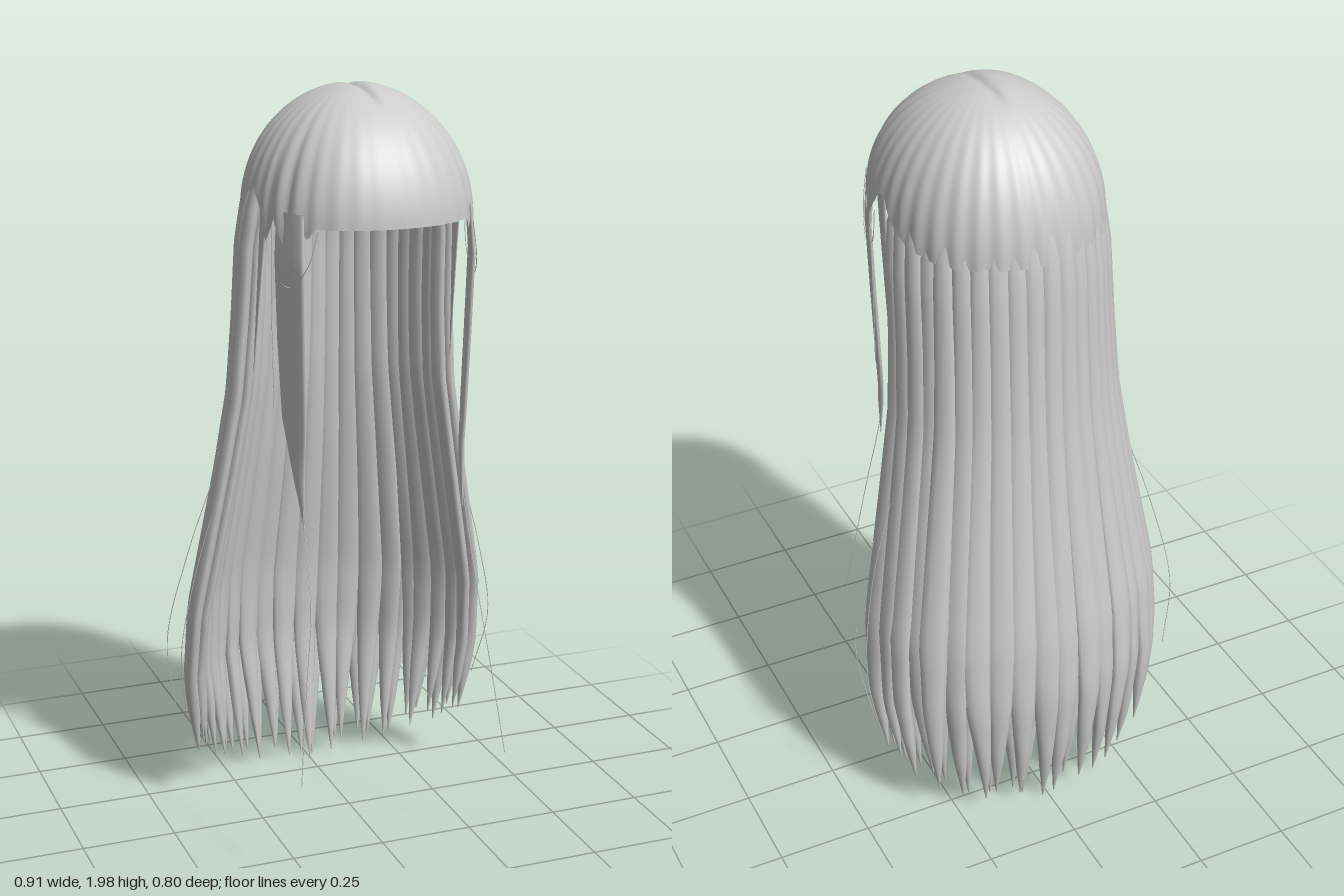
import * as THREE from 'three';

const hairGrey = new THREE.MeshStandardMaterial({ color: 0xcccccc, side: THREE.DoubleSide });
hairGrey.name = 'hair grey';

// small seeded random
let seed = 7;
const rnd = () => (seed = (seed * 16807) % 2147483647) / 2147483647;
const jitter = (a) => (rnd() * 2 - 1) * a;

// piecewise-linear lookup in [[key, value...], ...] with ascending keys
function lookup(table, k, col = 1) {
  if (k <= table[0][0]) return table[0][col];
  for (let i = 1; i < table.length; i++) {
    const [a, b] = [table[i - 1], table[i]];
    if (k <= b[0]) return a[col] + (b[col] - a[col]) * (k - a[0]) / (b[0] - a[0]);
  }
  return table[table.length - 1][col];
}

// surface closed around u, open along v
function loopSurface(nu, nv, fn) {
  const pos = [], idx = [];
  for (let j = 0; j <= nv; j++)
    for (let i = 0; i < nu; i++) pos.push(...fn(i / nu, j / nv));
  for (let j = 0; j < nv; j++)
    for (let i = 0; i < nu; i++) {
      const a = j * nu + i, b = j * nu + (i + 1) % nu;
      idx.push(a, a + nu, b, b, a + nu, b + nu);
    }
  const g = new THREE.BufferGeometry();
  g.setAttribute('position', new THREE.Float32BufferAttribute(pos, 3));
  g.setIndex(idx);
  g.computeVertexNormals();
  return g;
}

function add(parent, geometry, name) {
  const m = new THREE.Mesh(geometry, hairGrey);
  m.name = name;
  parent.add(m);
}

// lens-shaped lock along a path; side(t) is the horizontal direction of its width
function lock(path, side, width, thick, nv = 32) {
  return loopSurface(10, nv, (u, t) => {
    const p = path(t), s = side(t), w = width(t);
    const c = Math.cos(u * 2 * Math.PI) * w / 2;
    const d = Math.sin(u * 2 * Math.PI) * thick / 2 * Math.min(1, w / 0.04);
    return [p.x + s.x * c - s.z * d, p.y, p.z + s.z * c + s.x * d];
  });
}

// lower edge of the cap, by angle from the front in degrees
const rim = [[0, 1.69], [42, 1.69], [46, 1.66], [52, 1.7], [58, 1.62], [66, 1.7], [72, 1.64],
  [78, 1.71], [86, 1.76], [94, 1.74], [104, 1.68], [130, 1.66], [180, 1.66]];

function capGeometry() {
  return loopSurface(240, 40, (u, v) => {
    const th = u * 2 * Math.PI;
    const deg = Math.abs(u > 0.5 ? u - 1 : u) * 360;
    const bottom = lookup(rim, deg);
    const end = Math.acos(Math.max(0, Math.min(1, (bottom - 1.68) / 0.32)));
    const phi = Math.max(v, 0.001) * end;
    let y = 1.68 + 0.32 * Math.cos(phi);
    if (bottom < 1.68) y -= (1.68 - bottom) * v ** 4;
    // fuller corners, and combed ripples that fade toward the fringe
    const front = Math.cos(th) > 0;
    const calm = front ? 1 - 0.8 * Math.cos(th) ** 2 : 1;
    const full = 1 + (front ? 0.045 : 0.025) * Math.sin(2 * th) ** 2;
    const r = Math.sin(phi) * full * (1 + 0.009 * calm * Math.cos(34 * th) * Math.sin(phi));
    const x = 0.28 * r * Math.sin(th);
    const z = 0.04 + (front ? 0.32 : 0.31) * r * Math.cos(th);
    // parting along the crown
    const groove = 0.012 * Math.exp(-((x / 0.014) ** 2) - ((z - 0.07) / 0.11) ** 4);
    return [x, y - groove, z];
  });
}

// curtain of long hair: height, half width, centre z, depth behind the centre
const curtain = [[0, 0.37, -0.16, 0.19], [0.2, 0.395, -0.14, 0.235], [0.4, 0.415, -0.115, 0.277],
  [0.6, 0.408, -0.09, 0.291], [0.8, 0.373, -0.07, 0.281], [1, 0.338, -0.05, 0.272],
  [1.2, 0.306, -0.033, 0.266], [1.4, 0.293, -0.015, 0.27], [1.6, 0.286, 0.01, 0.285],
  [1.7, 0.273, 0.025, 0.286], [1.8, 0.24, 0.03, 0.262]];

function curtainLock(u, inset, tip, width, thick) {
  const bend = jitter(0.014), phase = rnd() * 6, twist = jitter(0.4), out = jitter(0.01);
  // locks gather slightly into bundles at the ends
  const bundle = Math.round(u * 6.5) / 6.5 * 1.5;
  const angle = (t) => {
    const a = u * 1.5 + bend * Math.sin(t * 5 + phase);
    return a + (bundle - a) * 0.45 * THREE.MathUtils.smoothstep(t, 0.72, 1);
  };
  const path = (t) => {
    const y = 1.8 + (tip - 1.8) * t, a = angle(t), off = inset - out * t * t;
    return new THREE.Vector3(
      (lookup(curtain, y, 1) - off) * Math.sin(a), y,
      lookup(curtain, y, 2) - (lookup(curtain, y, 3) - off) * Math.cos(a));
  };
  const side = (t) => {
    const a = angle(t) + twist * t * t;
    return new THREE.Vector3(Math.cos(a), 0, Math.sin(a));
  };
  const w = (t) => width * lookup([[0, 0.75], [0.3, 0.85], [0.7, 1.1], [0.82, 0.85], [0.93, 0.45], [1, 0.04]], t);
  return lock(path, side, w, thick);
}

function hairStrand(points) {
  const curve = new THREE.CatmullRomCurve3(points.map((p) => new THREE.Vector3(...p)));
  return new THREE.TubeGeometry(curve, 24, 0.0012, 4);
}

export function createModel() {
  seed = 7;
  const model = new THREE.Group();
  model.name = 'longHair';
  add(model, capGeometry(), 'capWithFringe');

  // two overlapping layers of long locks
  const layers = [['outerLocks', 20, 0.01, 0.074, 0.036], ['innerLocks', 19, 0.034, 0.07, 0.032]];
  for (const [name, count, inset, width, thick] of layers) {
    const group = new THREE.Group();
    group.name = name;
    for (let i = 0; i < count; i++) {
      const u = (i / (count - 1)) * 2 - 1;
      const tip = 0.17 * Math.abs(u) ** 1.2 + rnd() * 0.05;
      add(group, curtainLock(u, inset + jitter(0.004), tip, width, thick), 'longLock');
    }
    model.add(group);
  }

  for (const s of [1, -1]) {
    const sideGroup = new THREE.Group();
    sideGroup.name = s > 0 ? 'leftSideHair' : 'rightSideHair';
    model.add(sideGroup);

    // flat lock in front of the ear: height, x, z, width
    const face = [[0.93, 0.215, 0.25, 0.004], [1, 0.218, 0.238, 0.025], [1.1, 0.222, 0.222, 0.065],
      [1.2, 0.228, 0.217, 0.1], [1.4, 0.235, 0.22, 0.115], [1.6, 0.24, 0.225, 0.12], [1.72, 0.234, 0.215, 0.11]];
    const faceY = (t) => 1.72 - 0.79 * t;
    add(sideGroup, lock(
      (t) => new THREE.Vector3(s * lookup(face, faceY(t), 1), faceY(t), lookup(face, faceY(t), 2)),
      () => new THREE.Vector3(-s * 0.3, 0, 0.954),
      (t) => lookup(face, faceY(t), 3), 0.014), 'faceLock');

    // thin wisp between the face lock and the curtain
    add(sideGroup, lock(
      (t) => new THREE.Vector3(s * (0.255 + 0.015 * t), 1.78 - 0.5 * t, 0.1 - 0.07 * t),
      () => new THREE.Vector3(0, 0, 1),
      (t) => 0.05 * (1 - t) + 0.002, 0.01), 'templeWisp');

    // loose single hairs
    const loose = [
      [[0.216, 1, 0.24], [0.22, 0.9, 0.27], [0.225, 0.75, 0.325], [0.25, 0.55, 0.36], [0.28, 0.3, 0.4]],
      [[0.2, 1.69, 0.32], [0.22, 1.6, 0.3], [0.245, 1.54, 0.23], [0.26, 1.58, 0.15], [0.265, 1.68, 0.12]],
      [[0.33, 1, -0.1], [0.41, 0.75, -0.13], [0.455, 0.5, -0.18], [0.43, 0.3, -0.2]],
      [[0.34, 0.95, -0.06], [0.41, 0.7, -0.07], [0.445, 0.5, -0.08], [0.42, 0.3, -0.13]],
      [[0.262, 1.7, 0.16], [0.262, 1.5, 0.155], [0.26, 1.22, 0.16]]];
    for (const pts of loose)
      add(sideGroup, hairStrand(pts.map(([x, y, z]) => [s * x, y, z])), 'looseHair');
  }
  return model;
}
